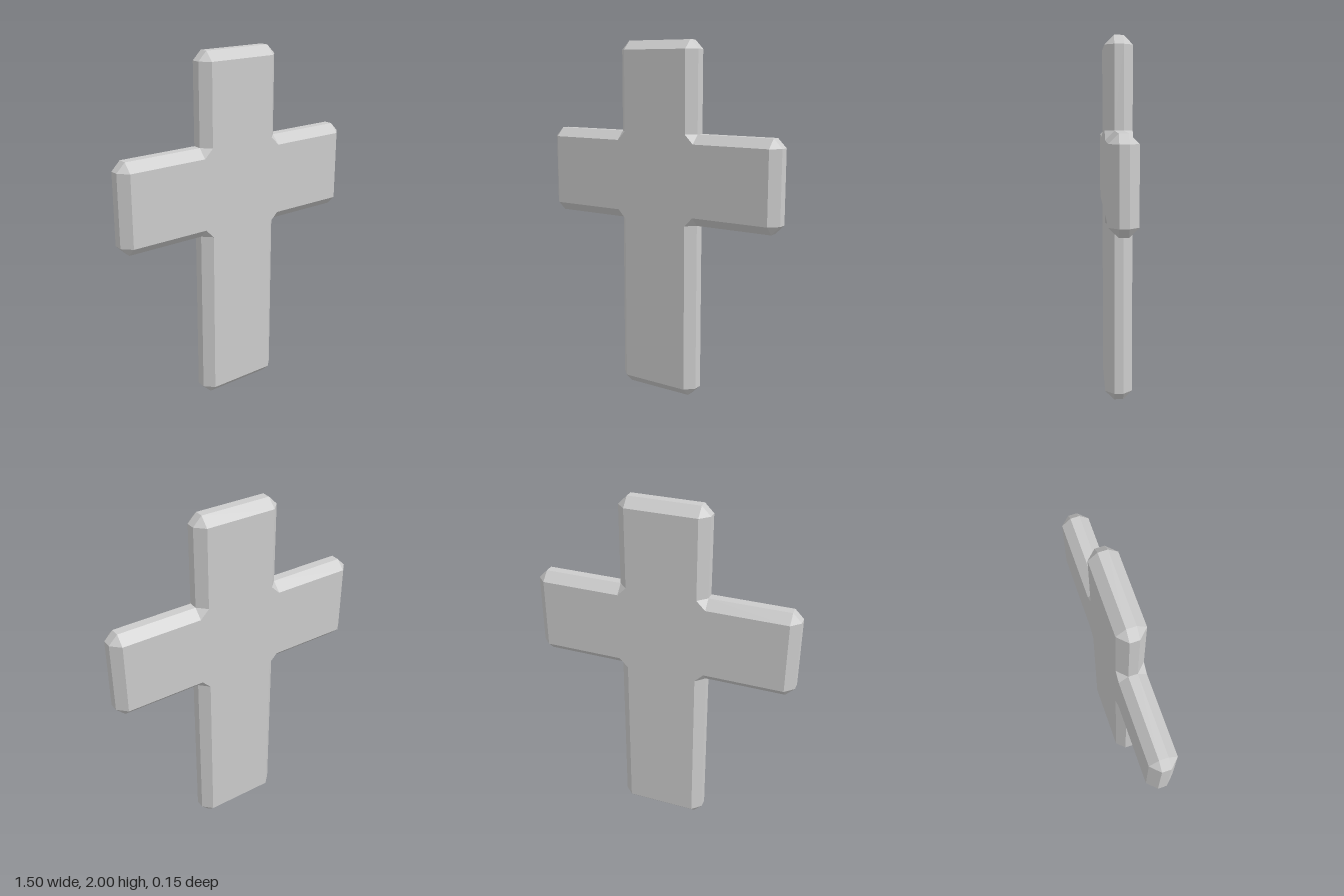
import * as THREE from 'three';

const BEVEL = 0.05, HALF_DEPTH = 0.075, HALF_RIM = 0.025;

// Outline of the cross, counter-clockwise
const OUTLINE = [
  [-0.25, 0], [0.25, 0], [0.25, 1], [0.75, 1], [0.75, 1.5], [0.25, 1.5],
  [0.25, 2], [-0.25, 2], [-0.25, 1.5], [-0.75, 1.5], [-0.75, 1], [-0.25, 1],
].map(([x, y]) => new THREE.Vector2(x, y));

// Each corner gives two face points and two rim points.
// Outer corners cut the rim, inner corners cut the face.
function bevelLoops() {
  const face = [], rim = [], n = OUTLINE.length;
  OUTLINE.forEach((p, i) => {
    const d1 = p.clone().sub(OUTLINE[(i + n - 1) % n]).setLength(BEVEL);
    const d2 = OUTLINE[(i + 1) % n].clone().sub(p).setLength(BEVEL);
    if (d1.cross(d2) > 0) {
      const inset = p.clone().sub(d1).add(d2);
      face.push(inset, inset);
      rim.push(p.clone().sub(d1), p.clone().add(d2));
    } else {
      face.push(p.clone().sub(d2), p.clone().add(d1));
      rim.push(p, p);
    }
  });
  return { face, rim };
}

function crossGeometry() {
  const { face, rim } = bevelLoops();
  const positions = [];
  const tri = (a, b, c) => {
    if (a.equals(b) || b.equals(c) || c.equals(a)) return;
    for (const v of [a, b, c]) positions.push(v.x, v.y, v.z);
  };
  const at = (loop, z) => loop.map((p) => new THREE.Vector3(p.x, p.y, z));

  // Front bevel, flat rim, back bevel
  const rings = [at(face, HALF_DEPTH), at(rim, HALF_RIM), at(rim, -HALF_RIM), at(face, -HALF_DEPTH)];
  for (let r = 0; r < 3; r++) {
    const a = rings[r], b = rings[r + 1];
    for (let i = 0; i < a.length; i++) {
      const j = (i + 1) % a.length;
      tri(a[i], b[i], b[j]);
      tri(a[i], b[j], a[j]);
    }
  }

  // Flat front and back faces
  const cap = face.filter((p, i) => p !== face[(i + 1) % face.length]);
  const front = at(cap, HALF_DEPTH), back = at(cap, -HALF_DEPTH);
  for (const [a, b, c] of THREE.ShapeUtils.triangulateShape(cap, [])) {
    tri(front[a], front[b], front[c]);
    tri(back[a], back[c], back[b]);
  }

  const geometry = new THREE.BufferGeometry();
  geometry.setAttribute('position', new THREE.Float32BufferAttribute(positions, 3));
  geometry.computeVertexNormals();
  return geometry;
}

export function createModel() {
  const group = new THREE.Group();
  group.name = 'cross';
  const material = new THREE.MeshStandardMaterial({ color: 0xcccccc, flatShading: true });
  const body = new THREE.Mesh(crossGeometry(), material);
  body.name = 'bevelledCross';
  group.add(body);
  return group;
}
